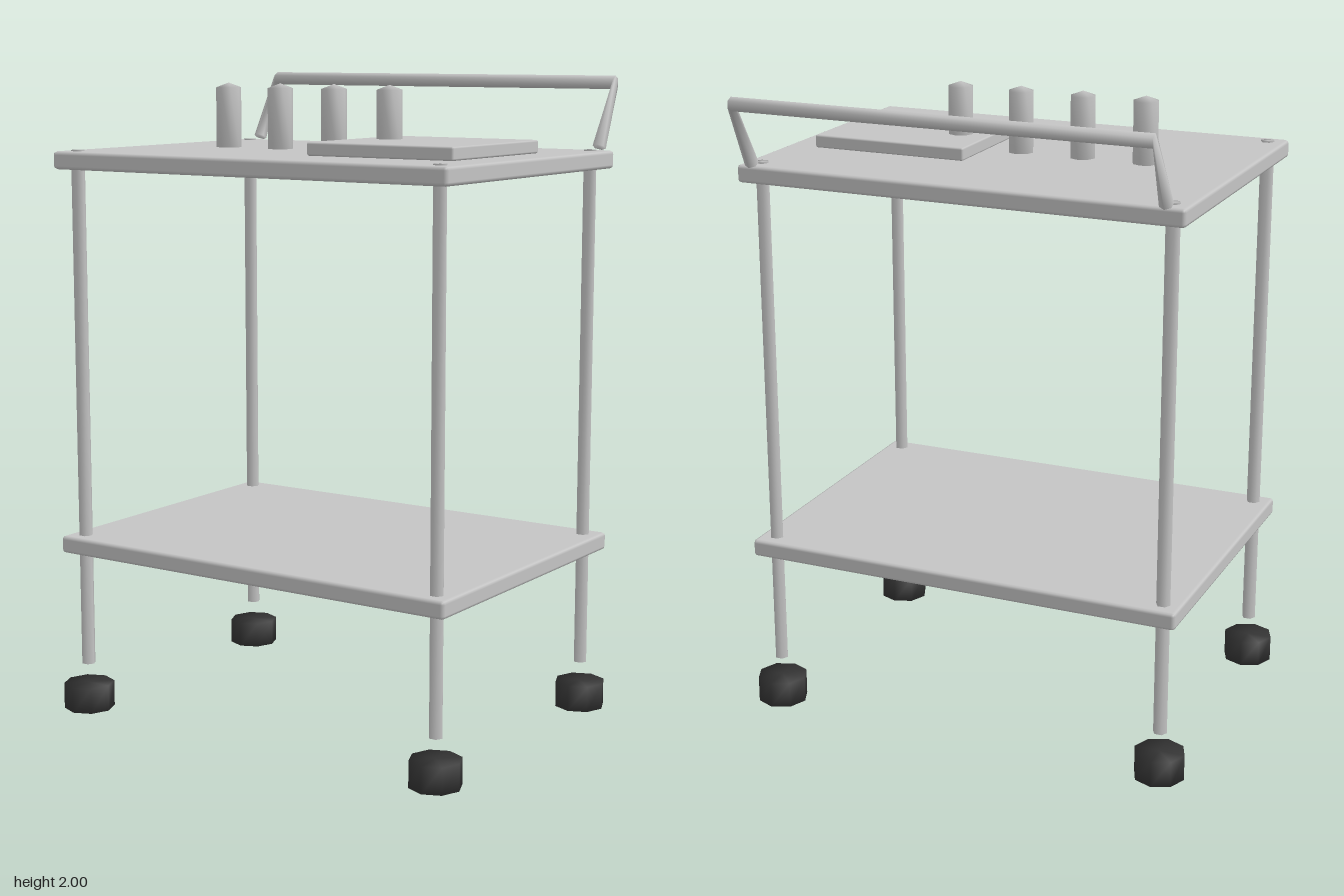
import * as THREE from 'three';
import { mergeVertices } from 'three/addons/utils/BufferGeometryUtils.js';
import { RoundedBoxGeometry } from 'three/addons/geometries/RoundedBoxGeometry.js';

const metal = new THREE.MeshStandardMaterial({ color: 0xc4c4c4 });
metal.name = 'light grey metal';
const rubber = new THREE.MeshStandardMaterial({ color: 0x333333 });
rubber.name = 'dark rubber';

// Weld a geometry so that it shades smoothly all over, ends included
function smooth(geometry) {
  geometry.deleteAttribute('normal');
  geometry.deleteAttribute('uv');
  const welded = mergeVertices(geometry, 1e-4);
  welded.computeVertexNormals();
  return welded;
}

// Six-sided tube: its corner rings lie square to the bar, so the arms narrow upwards
function handleGeometry() {
  const sides = 6, r = 0.021, x = 0.65;
  const d = new THREE.Vector3(0, 0.886, -0.464);
  const n = new THREE.Vector3(0, 0.464, 0.886);
  const side = new THREE.Vector3(1, 0, 0);
  const rings = [
    [[-x, 1.785, -0.455], side.clone().negate()],
    [[-x, 1.982, -0.559], d],
    [[x, 1.982, -0.559], d],
    [[x, 1.785, -0.455], side],
  ];
  const positions = [], index = [];
  for (const [centre, b] of rings) {
    for (let i = 0; i < sides; i++) {
      const a = (i / sides) * Math.PI * 2;
      const p = new THREE.Vector3(...centre)
        .addScaledVector(n, r * Math.cos(a))
        .addScaledVector(b, r * Math.sin(a));
      positions.push(p.x, p.y, p.z);
    }
  }
  for (let j = 0; j < rings.length - 1; j++) {
    for (let i = 0; i < sides; i++) {
      const k = (i + 1) % sides;
      const a = j * sides + i, b = j * sides + k, c = a + sides, e = b + sides;
      index.push(a, c, b, b, c, e);
    }
  }
  const last = (rings.length - 1) * sides;
  for (let i = 1; i < sides - 1; i++) {
    index.push(0, i, i + 1, last, last + i + 1, last + i);
  }
  const g = new THREE.BufferGeometry();
  g.setAttribute('position', new THREE.Float32BufferAttribute(positions, 3));
  g.setIndex(index);
  g.computeVertexNormals();
  return g;
}

export function createModel() {
  const cart = new THREE.Group();
  cart.name = 'serving cart';
  const add = (name, geometry, material, x, y, z) => {
    const mesh = new THREE.Mesh(geometry, material);
    mesh.name = name;
    mesh.position.set(x, y, z);
    cart.add(mesh);
  };

  // Two shelves with softened edges
  const shelf = new RoundedBoxGeometry(1.41, 0.055, 1.005, 1, 0.011);
  add('topShelf', shelf, metal, 0, 1.749, 0.05);
  add('lowerShelf', shelf, metal, 0, 0.539, 0.05);

  // Posts and the wheels beneath them
  const post = smooth(new THREE.CylinderGeometry(0.022, 0.022, 1.634, 6).rotateY(Math.PI / 2));
  const wheel = smooth(new THREE.CylinderGeometry(0.08, 0.08, 0.082, 8));
  for (const x of [-0.65, 0.65]) {
    for (const z of [-0.395, 0.497]) {
      add('post', post, metal, x, 0.963, z);
      add('wheel', wheel, rubber, x, 0.041, z);
    }
  }

  // Push handle leaning out over the back
  add('pushHandle', handleGeometry(), metal, 0, 0, 0);

  // Row of bottles with low pointed tops
  const profile = [[0, 0], [0.04, 0], [0.04, 0.188], [0, 0.203]];
  const bottle = smooth(new THREE.LatheGeometry(profile.map((p) => new THREE.Vector2(...p)), 8));
  for (const x of [-0.405, -0.204, -0.002, 0.2]) add('bottle', bottle, metal, x, 1.777, 0.05);

  // Serving board
  add('servingBoard', new RoundedBoxGeometry(0.5, 0.04, 0.5, 1, 0.006), metal, 0.352, 1.798, 0.099);

  return cart;
}
